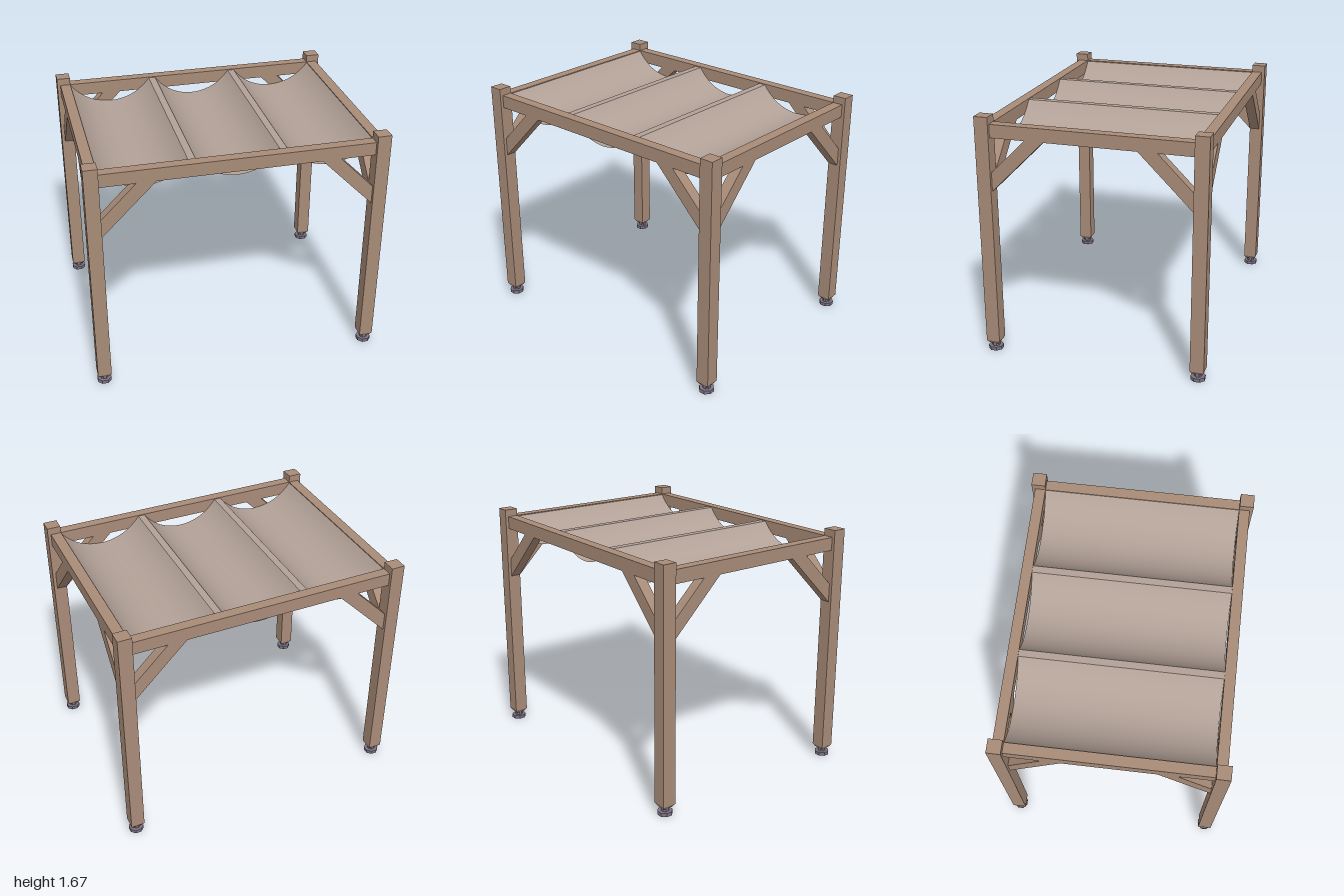
import * as THREE from 'three';

const X = 0.953, Z = 0.717, W = 0.094;    // post centres and width
const IX = X - W / 2, IZ = Z - W / 2;     // inner faces of the posts
const B0 = 1.53, B1 = 1.62, BT = 0.072;   // beam bottom, top and thickness

export function createModel() {
  const wood = new THREE.MeshStandardMaterial({ color: 0xa88b78 });
  wood.name = 'wood';
  const metal = new THREE.MeshStandardMaterial({ color: 0x7b7384 });
  metal.name = 'footMetal';
  const fabric = new THREE.MeshStandardMaterial({ color: 0xb2a197, side: THREE.DoubleSide });
  fabric.name = 'fabric';

  const model = new THREE.Group();
  model.name = 'pergola';
  const add = (parent, name, geometry, material, x = 0, y = 0, z = 0) => {
    const mesh = new THREE.Mesh(geometry, material);
    mesh.name = name;
    mesh.position.set(x, y, z);
    parent.add(mesh);
    return mesh;
  };
  const octagon = (halfWidth, h) =>
    new THREE.CylinderGeometry(halfWidth / Math.cos(Math.PI / 8), halfWidth / Math.cos(Math.PI / 8), h, 8)
      .rotateY(Math.PI / 8).toNonIndexed();

  // Posts with tapered ends on adjustable feet
  const taper = new THREE.CylinderGeometry(W / Math.SQRT2, 0.062 / Math.SQRT2, 0.023, 4, 1)
    .rotateY(Math.PI / 4).toNonIndexed();
  const stem = octagon(0.025, 0.03), foot = octagon(W / 2, 0.025);
  for (const g of [taper, stem, foot]) g.computeVertexNormals();
  const postBox = new THREE.BoxGeometry(W, 1.597, W);

  // 45 degree brace, inner edge at x = 0, reaching toward -x
  const brace = new THREE.ExtrudeGeometry(new THREE.Shape([
    new THREE.Vector2(0, 1.168), new THREE.Vector2(0, 1.296),
    new THREE.Vector2(-0.234, B0), new THREE.Vector2(-0.362, B0),
  ]), { depth: BT, bevelEnabled: false }).translate(0, 0, -BT / 2);

  for (const sx of [-1, 1]) for (const sz of [-1, 1]) {
    const corner = new THREE.Group();
    corner.name = (sz > 0 ? 'front' : 'back') + (sx > 0 ? 'Left' : 'Right') + 'Corner';
    model.add(corner);
    add(corner, 'post', postBox, wood, sx * X, 0.073 + 1.597 / 2, sz * Z);
    add(corner, 'postTaper', taper, wood, sx * X, 0.0615, sz * Z);
    add(corner, 'footStem', stem, metal, sx * X, 0.038, sz * Z);
    add(corner, 'footPad', foot, metal, sx * X, 0.0125, sz * Z);
    add(corner, 'longBrace', brace, wood, sx * IX, 0, sz * (IZ + BT / 2))
      .rotation.y = sx > 0 ? 0 : Math.PI;
    add(corner, 'sideBrace', brace, wood, sx * (IX + BT / 2), 0, sz * IZ)
      .rotation.y = -sz * Math.PI / 2;
  }

  // Beams flush with the inner faces of the posts
  for (const s of [-1, 1]) {
    add(model, s > 0 ? 'frontBeam' : 'backBeam',
      new THREE.BoxGeometry(2 * IX, B1 - B0, BT), wood, 0, (B0 + B1) / 2, s * (IZ + BT / 2));
    add(model, s > 0 ? 'leftBeam' : 'rightBeam',
      new THREE.BoxGeometry(BT, B1 - B0, 2 * IZ), wood, s * (IX + BT / 2), (B0 + B1) / 2, 0);
  }

  // Fabric canopy: three circular sags joined by flat strips
  const top = 1.614, sag = 0.148, strip = 0.048, stripX = 0.302;
  const spans = [
    [-IX, -stripX - strip / 2],
    [-stripX + strip / 2, stripX - strip / 2],
    [stripX + strip / 2, IX],
  ];
  for (const [a, b] of spans) {
    const half = (b - a) / 2, mid = (a + b) / 2;
    const r = (half * half + sag * sag) / (2 * sag), end = Math.asin(half / r);
    const g = new THREE.PlaneGeometry(2, 2 * IZ, 24, 1).rotateX(-Math.PI / 2);
    const p = g.attributes.position;
    for (let i = 0; i < p.count; i++) {
      const t = p.getX(i) * end;
      p.setXYZ(i, mid + r * Math.sin(t), top - sag + r * (1 - Math.cos(t)), p.getZ(i));
    }
    g.computeVertexNormals();
    add(model, 'canopySag', g, fabric);
  }
  for (const s of [-1, 1]) {
    add(model, 'canopyStrip', new THREE.PlaneGeometry(strip, 2 * IZ).rotateX(-Math.PI / 2),
      fabric, s * stripX, top, 0);
  }
  return model;
}
